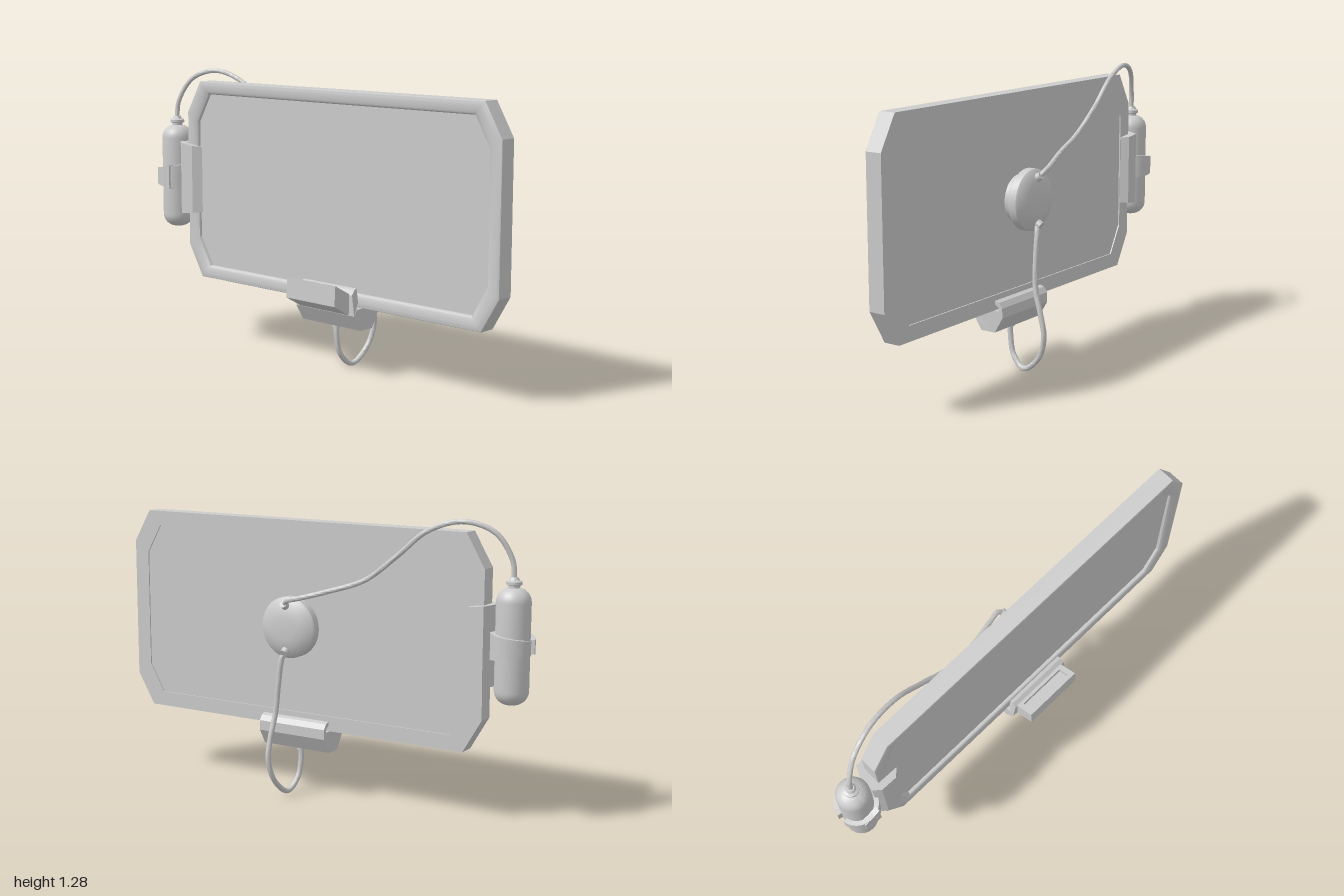
import * as THREE from 'three';
import { toCreasedNormals } from 'three/addons/utils/BufferGeometryUtils.js';

const material = new THREE.MeshStandardMaterial({ color: 0xcccccc });

function add(parent, name, geometry, crease = 0.6) {
  const mesh = new THREE.Mesh(toCreasedNormals(geometry, crease), material);
  mesh.name = name;
  parent.add(mesh);
  return mesh;
}

const shapeOf = (pts) => new THREE.Shape(pts.map(([x, y]) => new THREE.Vector2(x, y)));
const extrude = (shape, depth) => new THREE.ExtrudeGeometry(shape, { depth, bevelEnabled: false });
const rect = (x0, y0, x1, y1) => [[x0, y0], [x1, y0], [x1, y1], [x0, y1]];
const lathe = (pts, sides = 40) => new THREE.LatheGeometry(pts.map(([r, y]) => new THREE.Vector2(r, y)), sides);

// Move every vertex by a rule
function reshape(geometry, rule) {
  const p = geometry.attributes.position;
  const v = new THREE.Vector3();
  for (let i = 0; i < p.count; i++) {
    rule(v.fromBufferAttribute(p, i));
    p.setXYZ(i, v.x, v.y, v.z);
  }
  return geometry;
}

function cable(parent, name, pts, radius) {
  const curve = new THREE.CatmullRomCurve3(pts.map((p) => new THREE.Vector3(...p)));
  add(parent, name, new THREE.TubeGeometry(curve, 90, radius, 12), 1);
}

// Chamfered rectangle; t = 0 is the outer edge, t = 1 the screen edge
function octagon(t) {
  const w = 0.9 - 0.063 * t, h = 0.46 - 0.058 * t;
  const cx = 0.085 - 0.01 * t, cy = 0.145 - 0.015 * t;
  return [[w, h - cy], [w - cx, h], [cx - w, h], [-w, h - cy],
    [-w, cy - h], [cx - w, -h], [w - cx, -h], [w, cy - h]].map(([x, y]) => [x + 0.1, y + 0.765]);
}

function buildDisplay(root) {
  // Rim: a rounded cross-section swept round the octagon
  const profile = [[1.15, 0.0], [1.15, -0.015], [0, -0.015], [0, 0.06]];
  for (let i = 1; i <= 10; i++) {
    const a = Math.PI * (i / 10);
    profile.push([0.5 - 0.5 * Math.cos(a), 0.06 + 0.01 * Math.sin(a) - 0.01 * (i / 10)]);
  }
  profile.push([1, 0.035]);
  const pos = [], index = [];
  for (const [t, z] of profile) for (const [x, y] of octagon(t)) pos.push(x, y, z);
  for (let j = 0; j < profile.length - 1; j++) {
    for (let i = 0; i < 8; i++) {
      const a = j * 8 + i, b = j * 8 + (i + 1) % 8;
      index.push(a, a + 8, b, b, a + 8, b + 8);
    }
  }
  const rim = new THREE.BufferGeometry();
  rim.setAttribute('position', new THREE.Float32BufferAttribute(pos, 3));
  rim.setIndex(index);
  // Loops run counter-clockwise seen from the front, so reverse to face outward
  index.reverse();
  rim.setIndex(index);
  const mesh = add(root, 'displayRim', rim, 0.5);
  mesh.material = material.clone();
  mesh.material.side = THREE.DoubleSide;

  const panel = extrude(shapeOf(octagon(1)), 0.05);
  panel.translate(0, 0, -0.008);
  add(root, 'screenPanel', panel);
  const back = extrude(shapeOf(octagon(1.15)), 0.012);
  back.translate(0, 0, -0.009);
  add(root, 'backPanel', back);
}

function buildHub(root) {
  const hub = new THREE.Group();
  hub.name = 'rearHub';
  const disc = lathe([[0, 0], [0.105, 0], [0.105, 0.035], [0.128, 0.035], [0.135, 0.042], [0.135, 0.078],
    [0.128, 0.086], [0.085, 0.106], [0.05, 0.111], [0, 0.112]], 48);
  add(hub, 'hubDisc', disc.rotateX(-Math.PI / 2));
  // Cable sockets at the top and bottom of the disc
  for (const s of [-1, 1]) {
    const socket = new THREE.CylinderGeometry(0.017, 0.02, 0.04, 20);
    socket.rotateX(-Math.PI / 2 + s * 0.5).translate(0, s * 0.1, -0.1);
    add(hub, 'cableSocket', socket);
  }
  hub.position.set(0.1, 0.765, -0.012);
  root.add(hub);
}

function buildCanister(root) {
  const canister = new THREE.Group();
  canister.name = 'canister';
  canister.position.set(-0.908, 0, 0.034);
  root.add(canister);

  // Body with domed ends
  const body = [];
  const r = 0.072, f = 0.06;
  for (const [y, from] of [[0.525 + f, -Math.PI / 2], [1.01 - f, 0]]) {
    if (from < 0) body.push([0, 0.525]);
    for (let i = 0; i <= 8; i++) {
      const a = from + (i / 8) * Math.PI / 2;
      body.push([r - f + f * Math.cos(a), y + f * Math.sin(a)]);
    }
  }
  body.push([0, 1.01]);
  add(canister, 'canisterBody', lathe(body));
  add(canister, 'nozzle', lathe([[0, 1], [0.024, 1], [0.024, 1.018], [0.033, 1.022], [0.033, 1.034],
    [0.022, 1.04], [0.016, 1.052], [0, 1.052]], 24));

  // Two tapering claws that grip the canister
  for (const s of [-1, 1]) {
    const claw = reshape(new THREE.BoxGeometry(1, 1, 1, 20, 1, 1), (v) => {
      const u = v.x + 0.5;
      const k = s > 0 ? 1 - u : u;
      const a = s * (0.35 + k * (Math.PI - 0.55));
      const radius = 0.081 + v.z * 0.02 + 0.006 * Math.sin(k * Math.PI);
      v.set(radius * Math.cos(a), 0.77 + v.y * (0.12 - 0.06 * k), radius * Math.sin(a));
    });
    add(canister, 'claw', claw);
  }

  // Open buckle on the front claw
  const frame = shapeOf([[-0.037, 0.735], [0.043, 0.715], [0.043, 0.825], [-0.037, 0.805]]);
  frame.holes.push(new THREE.Path(rect(-0.022, 0.748, 0.024, 0.792).map((p) => new THREE.Vector2(...p))));
  add(canister, 'buckle', extrude(frame, 0.025).translate(0, 0, 0.07));
}

function buildSideBracket(root) {
  // Plan outline hooked over the display edge, written as x, -z
  const outline = [[-0.70, -0.068], [-0.735, -0.1], [-0.81, -0.1], [-0.84, -0.075], [-0.84, 0], [-0.815, 0.05],
    [-0.75, 0.05], [-0.73, 0.015], [-0.80, 0.015], [-0.80, -0.068]];
  const g = extrude(shapeOf(outline), 0.34).rotateX(-Math.PI / 2).translate(0, 0.598, 0);
  reshape(g, (v) => { v.y = 0.768 + (v.y - 0.768) * (1 - (v.x + 0.84) * 0.7); });
  add(root, 'sideBracket', g, 0.3);
}

function buildBottomClip(root) {
  const clip = new THREE.Group();
  clip.name = 'bottomClip';
  root.add(clip);
  // U-shaped side profile in z, y
  const profile = [[0.06, 0.205], [-0.012, 0.205], [-0.052, 0.273], [-0.052, 0.317], [-0.035, 0.34], [-0.015, 0.347],
    [-0.015, 0.33], [-0.032, 0.318], [-0.035, 0.302], [0.085, 0.302], [0.072, 0.33], [0.07, 0.39],
    [0.085, 0.385], [0.104, 0.365], [0.104, 0.275]];
  const body = extrude(shapeOf(profile), 0.34).rotateY(-Math.PI / 2).translate(0.28, 0, 0);
  reshape(body, (v) => {
    if (v.z > 0.06 && v.y > 0.3) v.x = 0.11 + (v.x - 0.11) * (1 - (v.y - 0.3) * 1.1);
  });
  add(clip, 'clipBody', body, 0.3);

  // Slanted tray: rectangle with a recess, sheared to follow the slope
  const slant = new THREE.Matrix4().makeBasis(new THREE.Vector3(1, 0, 0),
    new THREE.Vector3(0, -0.05, -0.09), new THREE.Vector3(0, 0.09, -0.005));
  slant.setPosition(0, 0.327, 0.195);
  const face = shapeOf(rect(-0.033, 0, 0.25, 1));
  face.holes.push(new THREE.Path(rect(-0.008, 0.22, 0.225, 0.8).map((p) => new THREE.Vector2(...p))));
  add(clip, 'trayWalls', extrude(face, 1).applyMatrix4(slant), 0.3);
  const floor = extrude(shapeOf(rect(-0.02, 0.1, 0.24, 0.9)), 0.75).applyMatrix4(slant);
  add(clip, 'trayFloor', floor, 0.3);

  const collar = new THREE.CylinderGeometry(0.018, 0.018, 0.02, 20).translate(0.11, 0.2, 0.027);
  add(clip, 'cableCollar', collar);
}

export function createModel() {
  const root = new THREE.Group();
  root.name = 'displayUnit';
  buildDisplay(root);
  buildHub(root);
  buildCanister(root);
  buildSideBracket(root);
  buildBottomClip(root);
  cable(root, 'upperCable', [[-0.908, 1.04, 0.034], [-0.9, 1.12, 0.03], [-0.835, 1.23, 0.0], [-0.71, 1.27, -0.035],
    [-0.56, 1.225, -0.058], [-0.42, 1.11, -0.066], [-0.27, 1.0, -0.066], [-0.1, 0.94, -0.088],
    [0.03, 0.903, -0.122], [0.085, 0.888, -0.132], [0.1, 0.86, -0.11]], 0.011);
  cable(root, 'lowerCable', [[0.1, 0.665, -0.108], [0.115, 0.63, -0.119], [0.13, 0.53, -0.122], [0.143, 0.385, -0.13],
    [0.15, 0.28, -0.16], [0.15, 0.18, -0.178], [0.14, 0.08, -0.145], [0.128, 0.013, -0.055],
    [0.115, 0.065, 0.008], [0.11, 0.15, 0.027], [0.11, 0.21, 0.027]], 0.012);
  return root;
}
